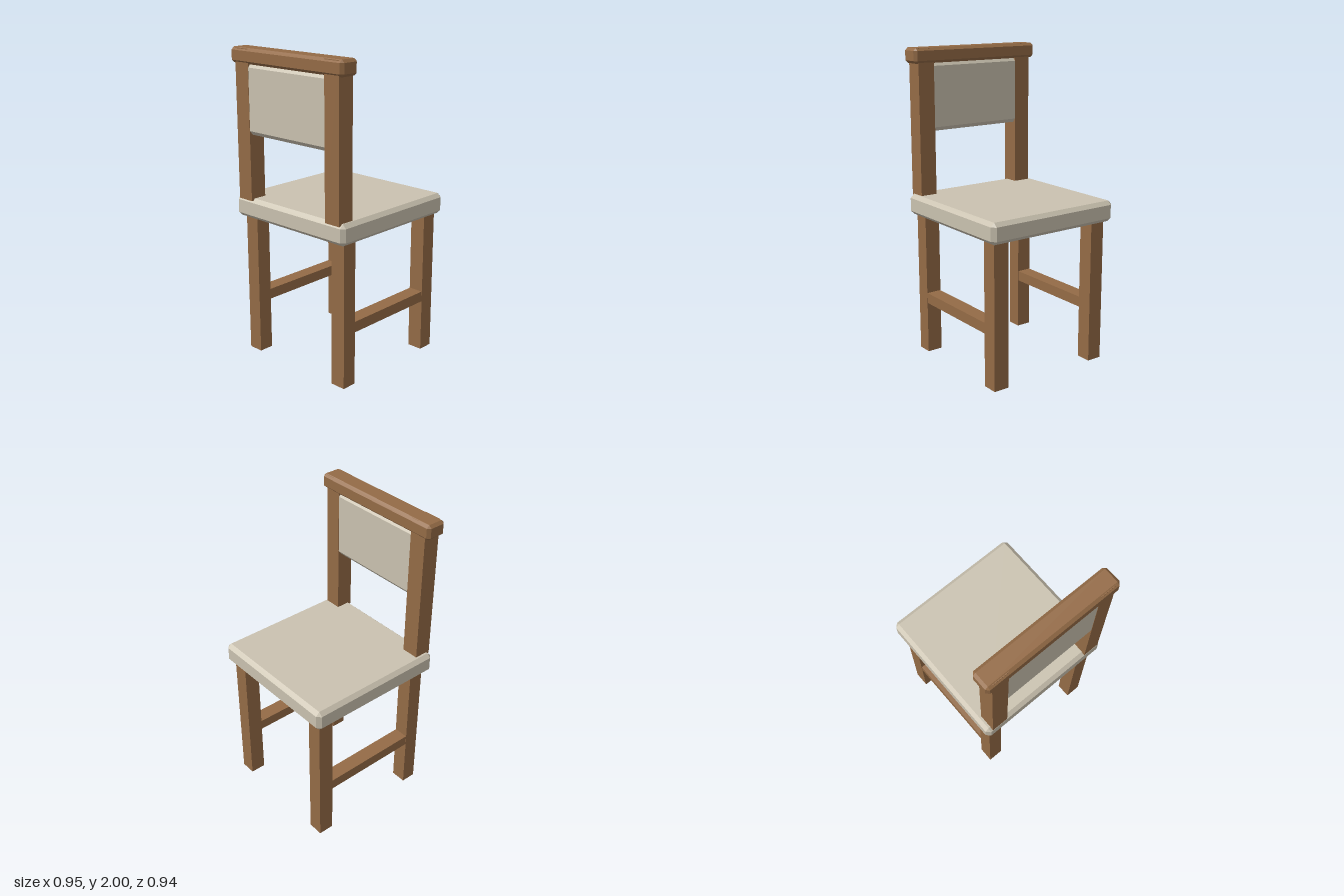
import * as THREE from 'three';
import { ConvexGeometry } from 'three/addons/geometries/ConvexGeometry.js';

// Every part is given by its [min, max] extents along x, y and z.
const mid = ([a, b]) => (a + b) / 2;
const len = ([a, b]) => b - a;

function block(name, x, y, z, material) {
  const mesh = new THREE.Mesh(new THREE.BoxGeometry(len(x), len(y), len(z)), material);
  mesh.position.set(mid(x), mid(y), mid(z));
  mesh.name = name;
  return mesh;
}

// Box with all twelve edges and eight corners cut off; bevel is [x, y, z].
function chamferedBlock(name, x, y, z, bevel, material) {
  const half = [len(x) / 2, len(y) / 2, len(z) / 2];
  const points = [];
  for (const sx of [-1, 1]) for (const sy of [-1, 1]) for (const sz of [-1, 1]) {
    for (let face = 0; face < 3; face++) {
      const p = half.map((h, i) => (i === face ? h : h - bevel[i]));
      points.push(new THREE.Vector3(sx * p[0], sy * p[1], sz * p[2]));
    }
  }
  const mesh = new THREE.Mesh(new ConvexGeometry(points), material);
  mesh.position.set(mid(x), mid(y), mid(z));
  mesh.name = name;
  return mesh;
}

export function createModel() {
  const wood = new THREE.MeshStandardMaterial({ color: 0x946b46, flatShading: true });
  wood.name = 'wood';
  const cushion = new THREE.MeshStandardMaterial({ color: 0xcac2b0, flatShading: true });
  cushion.name = 'cushion';

  const chair = new THREE.Group();
  chair.name = 'chair';

  // Padded seat
  chair.add(chamferedBlock('seat', [-0.466, 0.472], [0.929, 1.063], [-0.469, 0.466],
    [0.025, 0.024, 0.025], cushion));

  // Legs, with a stretcher joining the pair on each side
  const sides = { left: [0.328, 0.43], right: [-0.423, -0.323] };
  for (const [side, z] of Object.entries(sides)) {
    chair.add(block(side + 'BackrestLeg', [-0.42, -0.322], [0, 0.94], z, wood));
    chair.add(block(side + 'OpenLeg', [0.328, 0.43], [0, 0.94], z, wood));
    chair.add(block(side + 'Stretcher', [-0.33, 0.34], [0.343, 0.412],
      [z[0] + 0.002, z[1] - 0.002], wood));
  }

  // Backrest posts rise from the seat and poke through the rail's bevel
  const posts = { left: [0.322, 0.434], right: [-0.43, -0.316] };
  for (const [side, z] of Object.entries(posts)) {
    chair.add(block(side + 'BackrestPost', [-0.466, -0.354], [1.05, 1.996], z, wood));
  }

  // Backrest panel between the posts and top rail over them
  chair.add(chamferedBlock('backrestPanel', [-0.464, -0.356], [1.472, 1.91], [-0.38, 0.38],
    [0.02, 0.025, 0.02], cushion));
  chair.add(chamferedBlock('topRail', [-0.476, -0.34], [1.904, 2], [-0.469, 0.466],
    [0.019, 0.017, 0.018], wood));

  return chair;
}
